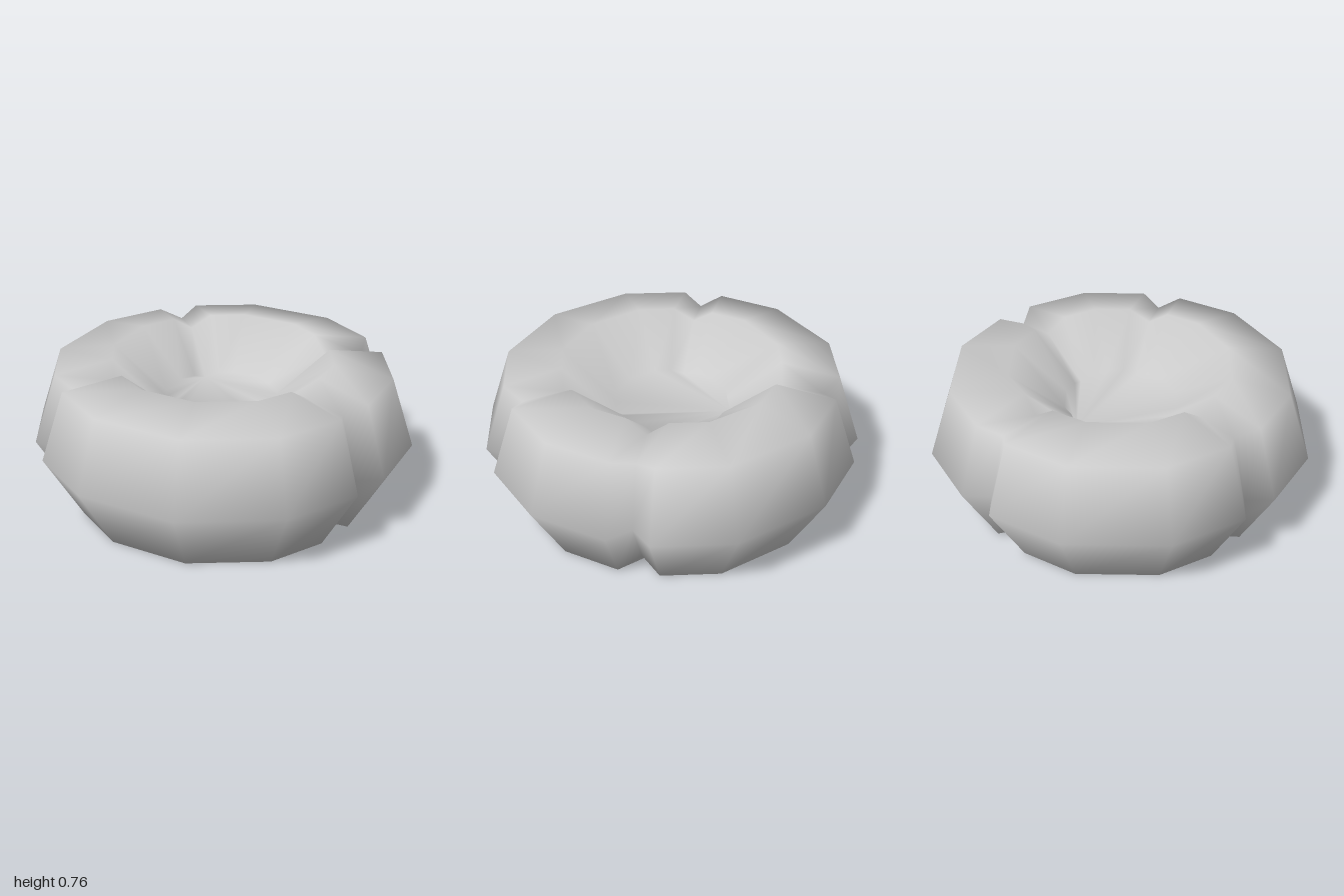
import * as THREE from 'three';

// Rings from the base up the outside and down into the dimple:
// radius, height, groove radius, groove height, half width of the groove
const RINGS = [
  { r: 0.80, y: 0.00, gr: 0.70, gy: 0.05, w: 0.11 },
  { r: 1.00, y: 0.35, gr: 0.87, gy: 0.35, w: 0.11 },
  { r: 0.88, y: 0.71, gr: 0.78, gy: 0.67, w: 0.11 },
  { r: 0.58, y: 0.76, gr: 0.57, gy: 0.69, w: 0.11 },
  { r: 0.30, y: 0.53, gr: 0.31, gy: 0.50, w: 0.07 },
];
const SIDES = 12;
const GROOVES = [0, 2, 5, 8]; // corners that carry a groove, counted from the front

function corner(k, r, y) {
  const a = (k / SIDES) * Math.PI * 2;
  return new THREE.Vector3(Math.sin(a) * r, y, Math.cos(a) * r);
}

// One twelve-sided ring; a grooved corner becomes shoulder, valley, shoulder
function ringPoints({ r, y, gr, gy, w }) {
  const points = [];
  for (let k = 0; k < SIDES; k++) {
    const c = corner(k, r, y);
    if (!GROOVES.includes(k)) {
      points.push(c);
      continue;
    }
    const shoulder = (n) => {
      const next = corner(n, r, y);
      return c.clone().lerp(next, w / c.distanceTo(next));
    };
    points.push(shoulder(k - 1), corner(k, gr, gy), shoulder(k + 1));
  }
  return points;
}

function bodyGeometry() {
  const rings = RINGS.map(ringPoints);
  const n = rings[0].length;
  const index = [];

  // Walls between neighbouring rings
  for (let i = 0; i < rings.length - 1; i++) {
    for (let j = 0; j < n; j++) {
      const a = i * n + j;
      const b = i * n + ((j + 1) % n);
      index.push(a, b, b + n, a, b + n, a + n);
    }
  }

  // Underside and dimple floor, fanned from the valley of the back groove
  const hub = 10;
  const top = (rings.length - 1) * n;
  for (let s = 1; s < n - 1; s++) {
    const j = (hub + s) % n;
    const k = (hub + s + 1) % n;
    index.push(hub, k, j);
    index.push(top + hub, top + j, top + k);
  }

  const geometry = new THREE.BufferGeometry().setFromPoints(rings.flat());
  geometry.setIndex(index);
  geometry.computeVertexNormals();
  return geometry;
}

export function createModel() {
  const group = new THREE.Group();
  group.name = 'lobedRound';
  const body = new THREE.Mesh(
    bodyGeometry(),
    new THREE.MeshStandardMaterial({ color: 0xcccccc })
  );
  body.name = 'lobedBody';
  group.add(body);
  return group;
}
